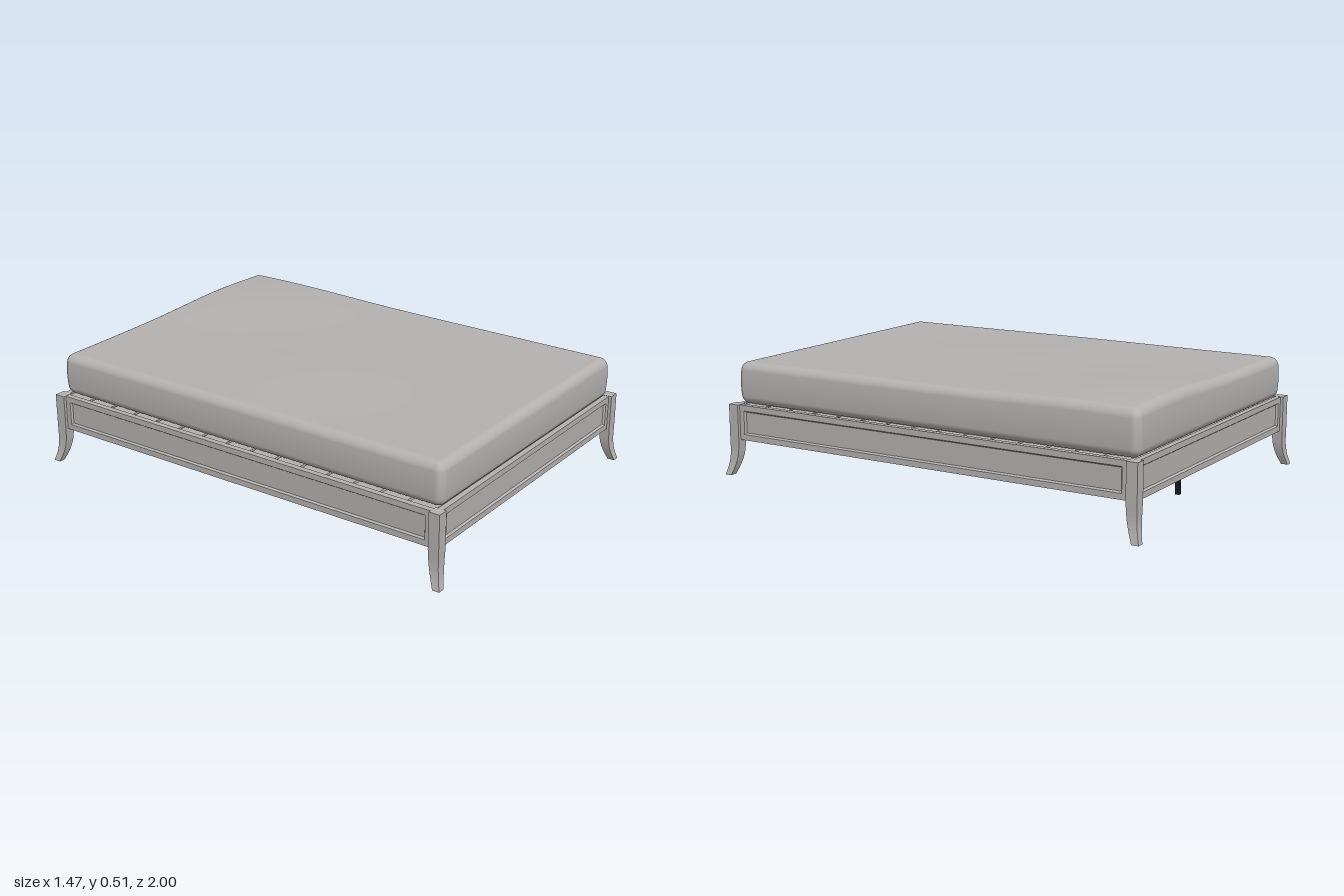
import * as THREE from 'three';
import { mergeVertices } from 'three/addons/utils/BufferGeometryUtils.js';

const paleGrey = new THREE.MeshStandardMaterial({ color: 0xb4b2b0 });
paleGrey.name = 'paleGrey';
const darkMetal = new THREE.MeshStandardMaterial({ color: 0x1c1c28 });
darkMetal.name = 'darkMetal';

function addMesh(parent, name, geometry, material = paleGrey) {
  const mesh = new THREE.Mesh(geometry, material);
  mesh.name = name;
  parent.add(mesh);
  return mesh;
}

function addBox(parent, name, size, pos, material) {
  addMesh(parent, name, new THREE.BoxGeometry(...size), material).position.set(...pos);
}

// Skin a list of four-cornered rings and close both ends, with flat faces.
// Rings run counter-clockwise as seen from the side of the last ring.
function loft(rings) {
  const points = [];
  const quad = (a, b, c, d) => points.push(...a, ...b, ...c, ...a, ...c, ...d);
  for (let i = 0; i + 1 < rings.length; i++) {
    for (let j = 0; j < 4; j++) {
      const k = (j + 1) % 4;
      quad(rings[i][j], rings[i][k], rings[i + 1][k], rings[i + 1][j]);
    }
  }
  const first = rings[0], last = rings[rings.length - 1];
  quad(first[3], first[2], first[1], first[0]);
  quad(...last);
  const geometry = new THREE.BufferGeometry();
  geometry.setAttribute('position', new THREE.Float32BufferAttribute(points, 3));
  geometry.computeVertexNormals();
  return geometry;
}

// Rail with a bevelled, sunken panel on its outer (+z) face
function railGeometry(length, height, thickness) {
  const ring = (inset, z) => {
    const x = length / 2 - inset, y = height / 2 - inset;
    return [[-x, -y, z], [x, -y, z], [x, y, z], [-x, y, z]];
  };
  return loft([ring(0, -thickness), ring(0, 0), ring(0.025, 0), ring(0.031, -0.009)]);
}

// Leg with a foot that flares out towards the corner
function legGeometry(sx, sz) {
  const inner = new THREE.SplineCurve([[0.035, 0], [0.017, 0.045], [0.005, 0.095], [0, 0.155]]
    .map(p => new THREE.Vector2(...p)));
  const outer = new THREE.SplineCurve([[0.066, 0], [0.054, 0.045], [0.048, 0.095], [0.048, 0.155]]
    .map(p => new THREE.Vector2(...p)));
  const ring = (a, b, y) => {
    const corners = [[a, a], [a, b], [b, b], [b, a]]
      .map(([x, z]) => [sx * (0.668 + x), y, sz * (0.935 + z)]);
    return sx * sz > 0 ? corners : corners.reverse();
  };
  const rings = [];
  for (let i = 0; i <= 10; i++) {
    const a = inner.getPoint(i / 10), b = outer.getPoint(i / 10);
    rings.push(ring(a.x, b.x, a.y));
  }
  rings.push(ring(0, 0.048, 0.31));
  return loft(rings);
}

// Soft block with rounded edges, bulging sides and a gently uneven top
function mattressGeometry() {
  const half = [0.67, 0.0915, 0.96], segments = [32, 16, 40];
  const radius = 0.035, edge = 5;
  const geometry = new THREE.BoxGeometry(2, 2, 2, ...segments);
  geometry.deleteAttribute('uv');
  geometry.deleteAttribute('normal');
  const pos = geometry.attributes.position;
  // Pack the outer grid rows into the rounded edge
  const spread = (t, h, n) => {
    const i = Math.abs(t) * n / 2, flat = n / 2 - edge;
    const d = i <= flat
      ? (h - radius) * i / flat
      : h - radius + radius * Math.tan((i - flat) / edge * Math.PI / 4);
    return Math.sign(t) * d;
  };
  const v = new THREE.Vector3(), core = new THREE.Vector3();
  const limit = new THREE.Vector3(...half).subScalar(radius);
  const bump = (x, z, cx, cz) => Math.exp(-(((x - cx) / 0.36) ** 2) - ((z - cz) / 0.42) ** 2);
  for (let i = 0; i < pos.count; i++) {
    v.fromBufferAttribute(pos, i);
    v.set(...v.toArray().map((t, k) => spread(t, half[k], segments[k])));
    core.copy(v).clamp(limit.clone().negate(), limit);
    v.sub(core).setLength(radius).add(core);
    const up = (v.y + half[1]) / (2 * half[1]);
    const bulge = 0.006 * Math.sin(Math.PI * up);
    const lift = 0.025 * bump(v.x, v.z, 0.35, -0.72) + 0.014 * bump(v.x, v.z, -0.17, 0);
    pos.setXYZ(i, v.x * (1 + bulge / half[0]), v.y + 0.3975 + lift * up, v.z * (1 + bulge / half[2]));
  }
  const smooth = mergeVertices(geometry, 1e-4);
  smooth.computeVertexNormals();
  return smooth;
}

export function createModel() {
  const bed = new THREE.Group();
  bed.name = 'bed';
  addMesh(bed, 'mattress', mattressGeometry());

  // Corner legs
  for (const sx of [1, -1]) {
    for (const sz of [1, -1]) {
      addMesh(bed, (sz > 0 ? 'front' : 'back') + (sx > 0 ? 'Left' : 'Right') + 'Leg', legGeometry(sx, sz));
    }
  }

  // Panelled rails between the legs
  const railHeight = 0.153, railY = 0.2325;
  for (const s of [1, -1]) {
    const end = addMesh(bed, s > 0 ? 'frontRail' : 'backRail', railGeometry(1.34, railHeight, 0.025));
    end.position.set(0, railY, s * 0.97);
    end.rotation.y = s > 0 ? 0 : Math.PI;
    const side = addMesh(bed, s > 0 ? 'leftRail' : 'rightRail', railGeometry(1.874, railHeight, 0.025));
    side.position.set(s * 0.703, railY, 0);
    side.rotation.y = s * Math.PI / 2;
  }

  // Slats under the mattress
  const slats = new THREE.Group();
  slats.name = 'slats';
  bed.add(slats);
  const count = 15, pitch = 1.89 / count;
  for (let i = 0; i < count; i++) {
    addBox(slats, 'slat', [1.356, 0.02, pitch - 0.012], [0, 0.295, (i - (count - 1) / 2) * pitch]);
  }

  // Centre beam and its three posts
  addBox(bed, 'centreBeam', [0.03, 0.03, 1.89], [0, 0.27, 0], darkMetal);
  for (const z of [0.775, 0, -0.805]) {
    addBox(bed, 'supportPost', [0.018, 0.256, 0.018], [0, 0.128, z], darkMetal);
  }
  return bed;
}
